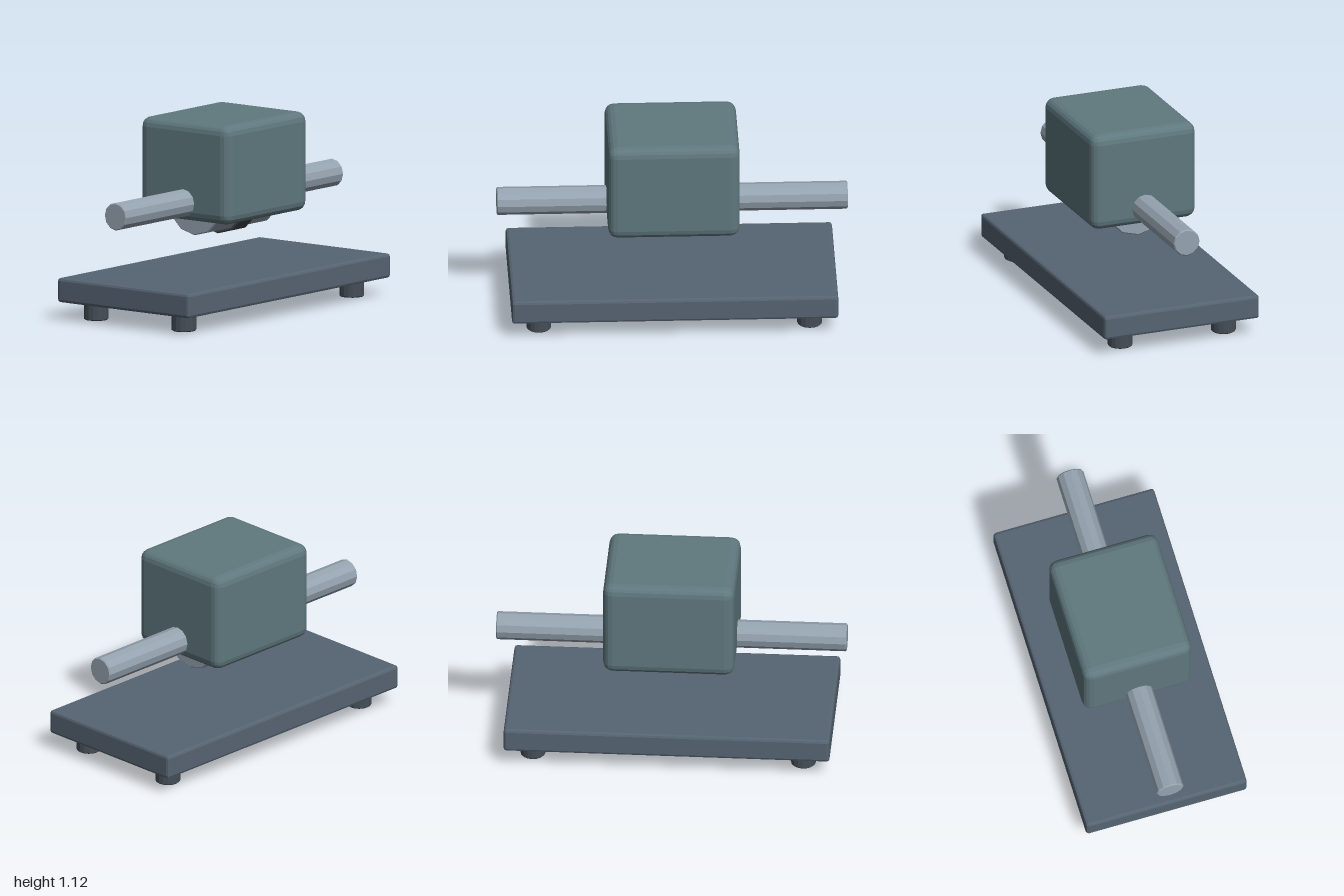
import * as THREE from 'three';
import { RoundedBoxGeometry } from 'three/addons/geometries/RoundedBoxGeometry.js';

const material = (color) => new THREE.MeshStandardMaterial({ color, flatShading: true });

// Faceted solid rod along y with a fine bevel at both ends
function rodGeometry(radius, length, sides, bevel = 0.006) {
  const h = length / 2;
  const profile = [
    [0, -h], [radius - bevel, -h], [radius, -h + bevel],
    [radius, h - bevel], [radius - bevel, h], [0, h],
  ].map(([x, y]) => new THREE.Vector2(x, y));
  return new THREE.LatheGeometry(profile, sides);
}

export function createModel() {
  const model = new THREE.Group();
  const add = (name, geometry, mat, x, y, z) => {
    const mesh = new THREE.Mesh(geometry, mat);
    mesh.name = name;
    mesh.position.set(x, y, z);
    model.add(mesh);
    return mesh;
  };

  const slate = material(0x566472);
  const housingGreen = material(0x5f787e);
  const steel = material(0x95a3b0);
  const dark = material(0x454e57);
  const collarDark = material(0x42484b);

  // Base plate with softened edges
  add('basePlate', new RoundedBoxGeometry(1.86, 0.14, 0.955, 1, 0.016), slate, 0, 0.172, 0);

  // Four round feet
  const footGeometry = rodGeometry(0.071, 0.11, 16);
  for (const x of [-0.772, 0.772]) {
    for (const z of [-0.318, 0.318]) add('foot', footGeometry, dark, x, 0.055, z);
  }

  // Housing block
  add('housing', new RoundedBoxGeometry(0.75, 0.572, 0.646, 2, 0.055), housingGreen, 0, 0.833, 0);

  // Axle, rotor and collar share one axis along x
  const parts = [
    ['axle', 0.08, 2, steel],
    ['rotor', 0.2, 0.55, steel],
    ['collar', 0.216, 0.128, collarDark],
  ];
  for (const [name, radius, length, mat] of parts) {
    add(name, rodGeometry(radius, length, 12).rotateZ(Math.PI / 2), mat, 0, 0.652, 0);
  }
  return model;
}
